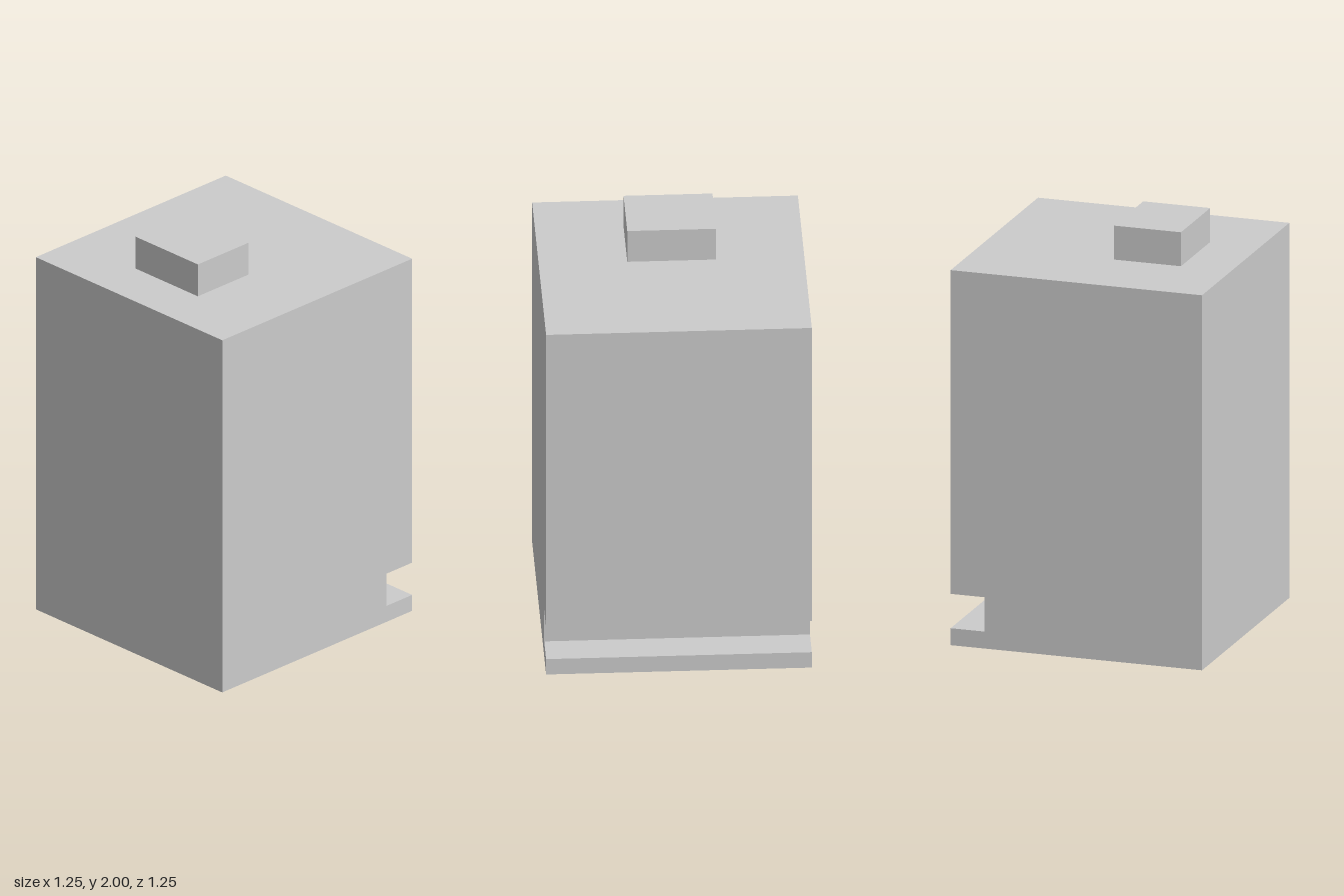
import * as THREE from 'three';

export function createModel() {
  const group = new THREE.Group();
  const material = new THREE.MeshStandardMaterial({ color: 0xcccccc, flatShading: true });
  const half = 0.623, height = 1.834;
  const notchX = 0.456, notchBottom = 0.083, notchTop = 0.251;

  // Tall block with a square groove running along its left side
  const profile = new THREE.Shape([
    [-half, 0], [half, 0], [half, notchBottom], [notchX, notchBottom],
    [notchX, notchTop], [half, notchTop], [half, height], [-half, height],
  ].map(([x, y]) => new THREE.Vector2(x, y)));
  const bodyGeometry = new THREE.ExtrudeGeometry(profile, { depth: 2 * half, bevelEnabled: false });
  bodyGeometry.translate(0, 0, -half);
  const body = new THREE.Mesh(bodyGeometry, material);
  body.name = 'groovedBody';
  group.add(body);

  // Small off-centre block on the top
  const knobHeight = 2 - height;
  const knob = new THREE.Mesh(new THREE.BoxGeometry(0.332, knobHeight, 0.417), material);
  knob.position.set(-0.209, height + knobHeight / 2, -0.001);
  knob.name = 'topBlock';
  group.add(knob);

  return group;
}
